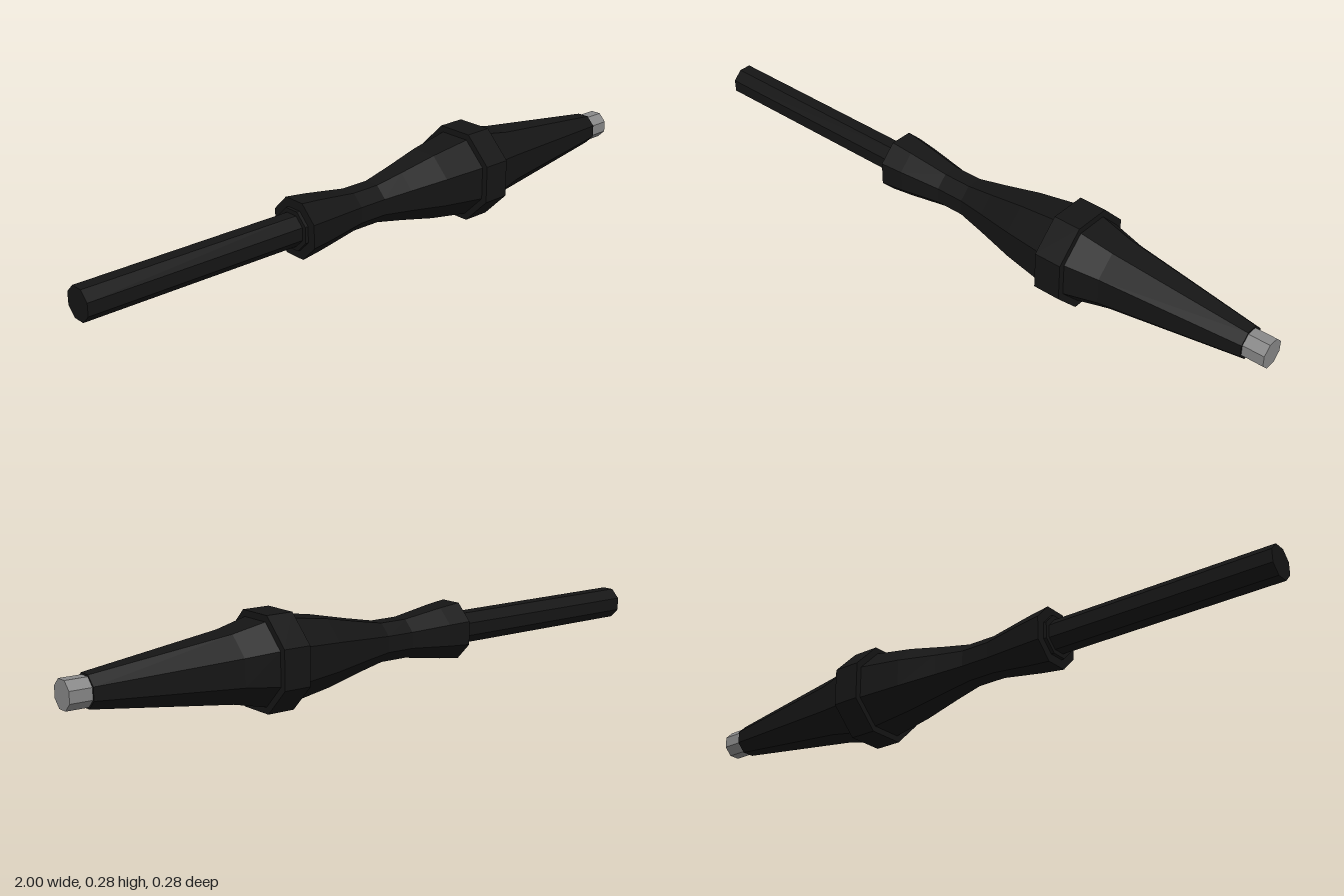
import * as THREE from 'three';

const SIDES = 8;
const AXIS_Y = 0.138;

// Octagonal solid along x from [x, half-width across flats] pairs, closed at both ends
function octagonal(name, profile, material) {
  const toCorner = 1 / Math.cos(Math.PI / SIDES);
  const points = [
    new THREE.Vector2(0, profile[0][0]),
    ...profile.map(([x, r]) => new THREE.Vector2(r * toCorner, x)),
    new THREE.Vector2(0, profile[profile.length - 1][0]),
  ];
  const geometry = new THREE.LatheGeometry(points, SIDES, Math.PI / SIDES);
  geometry.rotateZ(-Math.PI / 2);
  const mesh = new THREE.Mesh(geometry, material);
  mesh.name = name;
  mesh.position.y = AXIS_Y;
  return mesh;
}

export function createModel() {
  const group = new THREE.Group();
  group.name = 'taperedHandle';
  const black = new THREE.MeshStandardMaterial({ color: 0x151515, flatShading: true });
  const grey = new THREE.MeshStandardMaterial({ color: 0x888888, flatShading: true });

  group.add(
    // Straight rod at the rear
    octagonal('rod', [[-1, 0.046], [-0.3, 0.046]], black),
    // Small step where the rod enters the grip
    octagonal('rodSocket', [[-0.31, 0.059], [-0.29, 0.059]], black),
    // Waisted grip swelling towards the ring
    octagonal('grip', [
      [-0.3, 0.085], [-0.23, 0.077], [-0.1, 0.058], [-0.01, 0.058],
      [0.08, 0.075], [0.2, 0.1], [0.34, 0.121],
    ], black),
    // Raised ring at the widest point
    octagonal('ring', [[0.33, 0.138], [0.415, 0.138]], black),
    // Long taper to the front
    octagonal('nose', [[0.4, 0.121], [0.415, 0.119], [0.515, 0.097], [0.935, 0.045]], black),
    // Bare tip
    octagonal('tip', [[0.92, 0.04], [1, 0.04]], grey),
  );
  return group;
}
